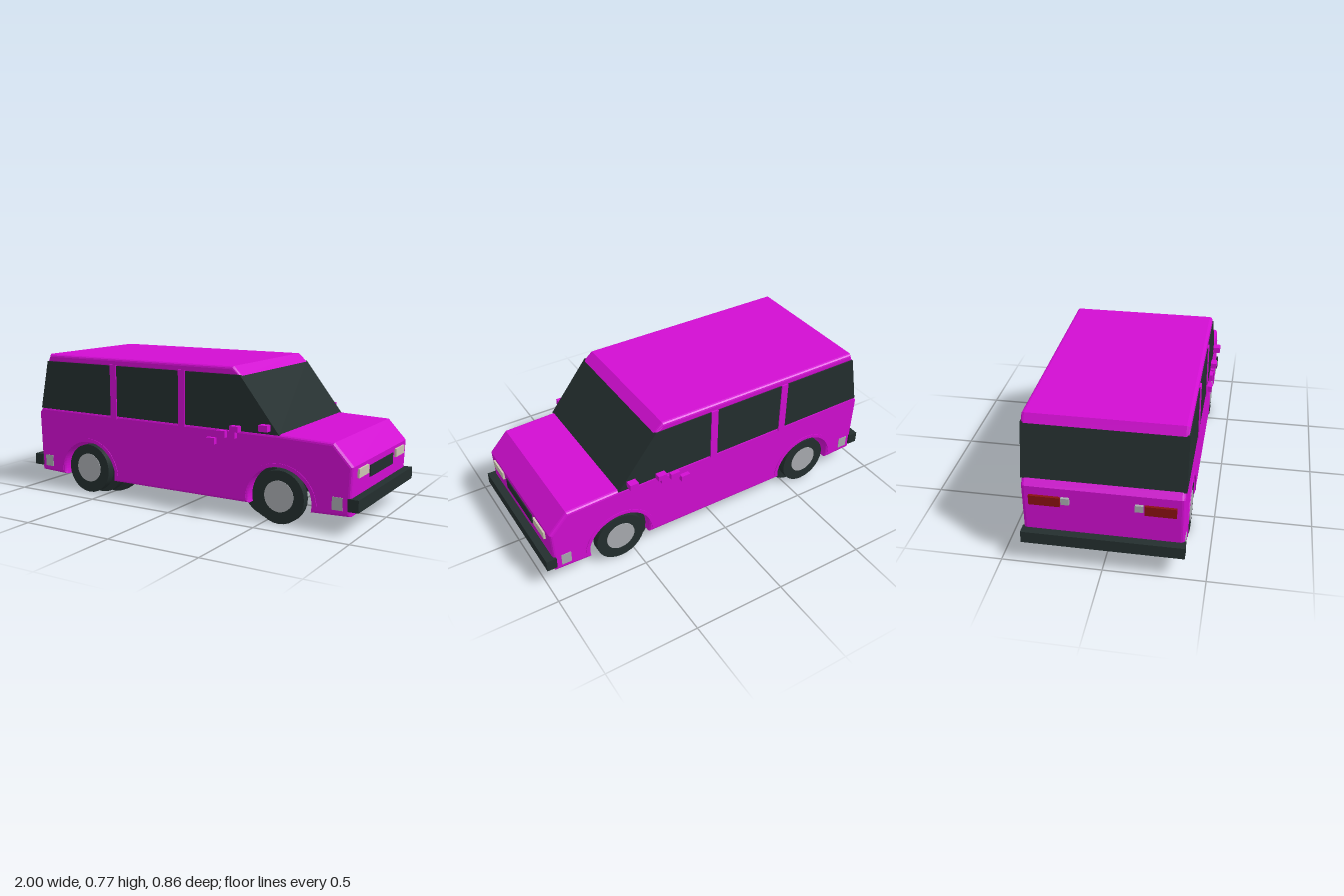
import * as THREE from 'three';

export function createModel() {
  const car = new THREE.Group();
  car.name = 'car';
  const mat = (name, color, side = THREE.FrontSide) => {
    const m = new THREE.MeshStandardMaterial({ color, side });
    m.name = name;
    return m;
  };
  const paint = mat('magenta paint', 0xd20dd2);
  const dark = mat('dark glass and rubber', 0x232e2e);
  const metal = mat('hub grey', 0xa9abb0);
  const lamp = mat('headlight cream', 0xccc4b2);
  const red = mat('tail light red', 0x8a1212);

  const add = (name, geometry, material, x = 0, y = 0, z = 0) => {
    const mesh = new THREE.Mesh(geometry, material);
    mesh.name = name;
    mesh.position.set(x, y, z);
    car.add(mesh);
    return mesh;
  };
  // Box given by its lower and upper limits
  const box = (name, material, x0, x1, y0, y1, z0, z1) =>
    add(name, new THREE.BoxGeometry(x1 - x0, y1 - y0, z1 - z0), material,
      (x0 + x1) / 2, (y0 + y1) / 2, (z0 + z1) / 2);
  // Side profile extruded across the car, with optional rounded edges
  const across = (shape, half, bevel = 0) => new THREE.ExtrudeGeometry(shape, {
    depth: 2 * (half - bevel), curveSegments: 20, bevelEnabled: bevel > 0,
    bevelThickness: bevel, bevelSize: bevel, bevelOffset: -bevel, bevelSegments: 3,
  }).translate(0, 0, -(half - bevel));
  const polygon = (pts) => new THREE.Shape(pts.map(([x, y]) => new THREE.Vector2(x, y)));

  const axles = [-0.61, 0.58];
  const archY = 0.12, archR = 0.172, floorY = 0.085;
  const dip = Math.asin((archY - floorY) / archR);

  // Lower body with wheel tunnels
  const body = new THREE.Shape();
  body.moveTo(-0.955, 0.092);
  for (const x of axles) {
    body.lineTo(x - archR * Math.cos(dip), floorY);
    body.absarc(x, archY, archR, Math.PI + dip, -dip, true);
  }
  for (const [x, y] of [[0.955, 0.092], [0.965, 0.335], [0.865, 0.442], [0.58, 0.452],
    [-0.94, 0.463], [-0.965, 0.43]]) body.lineTo(x, y);
  body.closePath();
  add('body', across(body, 0.387, 0.016), paint);

  // Glass house and roof
  add('windows', across(polygon([[-0.942, 0.458], [0.582, 0.448], [0.362, 0.73], [-0.885, 0.73]]), 0.391), dark);
  add('roof', across(polygon([[-0.888, 0.725], [0.368, 0.725], [0.32, 0.771], [-0.87, 0.771]]), 0.388, 0.016), paint);

  // Bumpers and grille
  box('rearBumper', dark, -1, -0.945, 0.122, 0.184, -0.395, 0.395);
  box('frontBumper', dark, 0.945, 1, 0.122, 0.184, -0.395, 0.395);
  box('grille', dark, 0.955, 0.969, 0.245, 0.303, -0.163, 0.163);

  for (const s of [1, -1]) {
    // Box on one side, z limits measured outwards from the centre line
    const side = (name, m, x0, x1, y0, y1, z0, z1) =>
      box(name, m, x0, x1, y0, y1, Math.min(s * z0, s * z1), Math.max(s * z0, s * z1));

    for (const x of [-0.42, 0.02]) side('doorPillar', paint, x - 0.02, x + 0.02, 0.44, 0.735, 0.37, 0.396);
    side('headlight', lamp, 0.955, 0.974, 0.273, 0.317, 0.198, 0.326);
    side('tailLight', red, -0.977, -0.95, 0.335, 0.385, 0.2, 0.35);
    side('reverseLight', metal, -0.977, -0.95, 0.35, 0.385, 0.155, 0.195);
    for (const x of [-0.898, 0.89]) side('sideMarker', metal, x - 0.027, x + 0.027, 0.12, 0.184, 0.38, 0.39);

    // Mirror and stepped door trim
    side('doorTrim', paint, 0.175, 0.225, 0.37, 0.403, 0.37, 0.41);
    side('doorTrim', paint, 0.235, 0.287, 0.41, 0.445, 0.37, 0.41);
    side('doorTrim', paint, 0.3, 0.345, 0.412, 0.447, 0.37, 0.41);
    side('doorTrim', paint, 0.32, 0.37, 0.447, 0.477, 0.37, 0.424);
    side('mirror', paint, 0.487, 0.535, 0.466, 0.498, 0.37, 0.43);

    for (const x of axles) {
      // Wheel arch lip
      const lip = new THREE.Shape();
      lip.absarc(x, 0.105, 0.205, 0, Math.PI, false);
      lip.absarc(x, 0.105, 0.186, Math.PI, 0, true);
      lip.closePath();
      add('wheelArchLip', new THREE.ExtrudeGeometry(lip, { depth: 0.02, bevelEnabled: false, curveSegments: 20 }),
        paint, 0, 0, s > 0 ? 0.37 : -0.39);

      // Wheel: three tyre slices stepping towards the middle of the car
      const step = x < 0 ? 0.055 : -0.055;
      for (let i = 0; i < 3; i++) {
        const tyre = new THREE.CylinderGeometry(0.136, 0.136, 0.046, 28).rotateX(Math.PI / 2);
        add('tyre', tyre, dark, x + i * step, 0.138, s * (0.36 - i * 0.046));
      }
      const hub = () => new THREE.CylinderGeometry(0.08, 0.08, 0.008, 28).rotateX(Math.PI / 2);
      add('outerHub', hub(), metal, x, 0.143, s * 0.382);
      add('innerHub', hub(), metal, x + 2 * step, 0.143, s * 0.244);
    }
  }
  return car;
}
